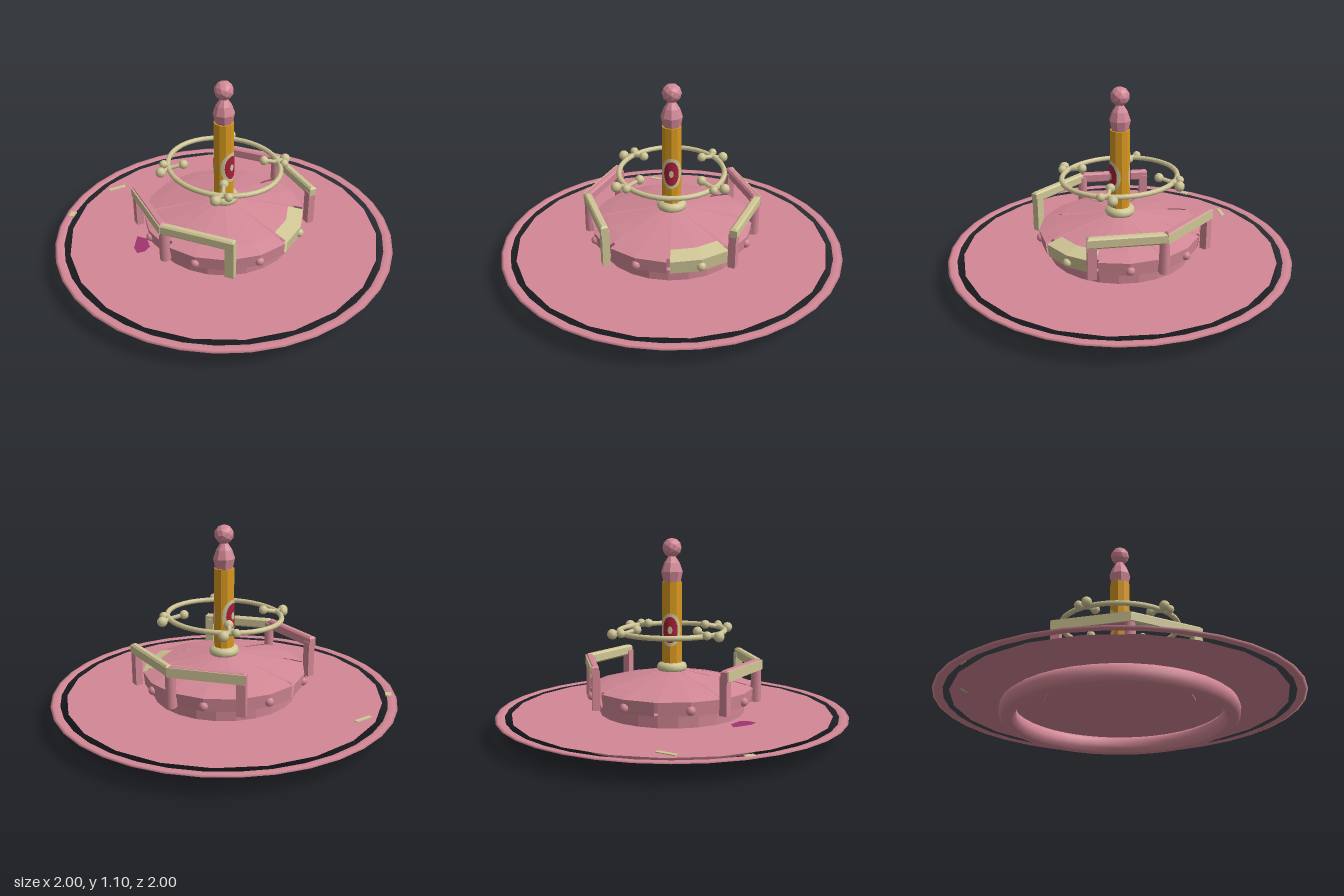
import * as THREE from 'three';

const mat = (name, color) => {
  const m = new THREE.MeshStandardMaterial({ color, side: THREE.DoubleSide });
  m.name = name;
  return m;
};
const pink = mat('pink', 0xd38896);
const khaki = mat('khaki', 0xcfc595);
const gold = mat('gold', 0xd8981f);
const red = mat('darkRed', 0xa81f3a);
const magenta = mat('magenta', 0xa03570);

const flat = (g) => {
  const n = g.index ? g.toNonIndexed() : g;
  n.computeVertexNormals();
  return n;
};
const lathe = (pts, sides, start = 0, length = Math.PI * 2) =>
  new THREE.LatheGeometry(pts.map(([r, y]) => new THREE.Vector2(r, y)), sides, start, length);

export function createModel() {
  const model = new THREE.Group();
  model.name = 'roundabout';
  const add = (name, geo, material, parent = model) => {
    const m = new THREE.Mesh(geo, material);
    m.name = name;
    parent.add(m);
    return m;
  };

  // Rounded ring on the ground
  add('baseRing', lathe([[0.58, 0.005], [0.63, 0.005], [0.648, 0.025], [0.652, 0.055], [0.645, 0.085],
    [0.625, 0.1], [0.58, 0.1], [0.562, 0.08], [0.558, 0.05], [0.562, 0.025], [0.58, 0.005]], 40), pink);

  // Thin floor disc with a separate outer band
  add('floorDisc', new THREE.CircleGeometry(0.913, 22).rotateX(-Math.PI / 2).translate(0, 0.118, 0), pink);
  add('floorBand', lathe([[0.946, 0.118], [0.96, 0.113], [0.985, 0.113], [1, 0.118],
    [0.985, 0.123], [0.96, 0.123], [0.946, 0.118]], 36), pink);

  // Paint marks on the floor
  const spot = new THREE.Shape([[-0.5, 0.22], [-0.46, 0.2], [-0.41, 0.21], [-0.37, 0.28],
    [-0.39, 0.34], [-0.43, 0.31], [-0.48, 0.27]].map(([x, y]) => new THREE.Vector2(x, y)));
  add('floorSpot', new THREE.ShapeGeometry(spot).rotateX(-Math.PI / 2).translate(0, 0.122, 0), magenta);
  const dash = add('floorDash', new THREE.BoxGeometry(0.11, 0.004, 0.025), khaki);
  dash.position.set(-0.125, 0.12, -0.835);
  dash.rotation.y = -0.35;
  const bandMark = add('bandMark', new THREE.BoxGeometry(0.05, 0.008, 0.035), khaki);
  bandMark.position.set(-0.51, 0.12, -0.81);
  bandMark.rotation.y = 0.5;

  // Drum under the platform
  add('drum', flat(lathe([[0, 0.11], [0.415, 0.11], [0.418, 0.185], [0.405, 0.195], [0.405, 0.25], [0, 0.25]], 24)), pink);

  // Eight platform wedges with narrow gaps, each with a bolt
  const platform = new THREE.Group();
  platform.name = 'platform';
  model.add(platform);
  for (let i = 0; i < 8; i++) {
    const step = Math.PI / 4, gap = 0.022;
    const start = i * step + gap, len = step - 2 * gap;
    const rimMat = i === 0 ? khaki : pink;
    add('wedgeTop', flat(lathe([[0.38, 0.292], [0.06, 0.358]], 2, start, len)), pink, platform);
    add('wedgeRim', flat(lathe([[0.4, 0.192], [0.462, 0.192], [0.47, 0.268], [0.38, 0.292]], 2, start, len)), rimMat, platform);
    const a = (i + 0.5) * step;
    const bolt = add('bolt', new THREE.IcosahedronGeometry(0.026, 1), rimMat, platform);
    bolt.position.set(Math.sin(a) * 0.462, 0.222, Math.cos(a) * 0.462);
  }

  // Centre pole with collar and finial
  add('collar', lathe([[0.05, 0.35], [0.08, 0.352], [0.087, 0.37], [0.08, 0.392], [0.055, 0.4]], 14), khaki);
  add('pole', flat(new THREE.CylinderGeometry(0.057, 0.057, 0.51, 10).translate(0, 0.605, 0)), gold);
  add('finialBody', flat(lathe([[0, 0.855], [0.05, 0.86], [0.062, 0.915], [0.045, 0.965], [0.022, 1.0], [0.02, 1.01]], 8)), pink);
  add('finialBall', flat(new THREE.IcosahedronGeometry(0.055, 1).translate(0, 1.05, 0)), pink);

  // Oval badges wrapped round the front and back of the pole
  const oval = (w, h, r) => {
    const g = new THREE.RingGeometry(0.001, 1, 18, 5);
    const p = g.attributes.position;
    for (let i = 0; i < p.count; i++) {
      const a = p.getX(i) * w;
      p.setXYZ(i, Math.sin(a) * r, 0.59 + p.getY(i) * h, Math.cos(a) * r);
    }
    g.computeVertexNormals();
    return g;
  };
  for (const turn of [0, Math.PI]) {
    const badge = new THREE.Group();
    badge.name = 'badge';
    badge.rotation.y = turn;
    model.add(badge);
    add('badgeBorder', oval(1.15, 0.095, 0.0585), khaki, badge);
    add('badgeField', oval(0.75, 0.075, 0.0605), red, badge);
    add('badgeCentre', oval(0.22, 0.022, 0.0625), khaki, badge);
  }

  // Oval hoop round the pole with four clusters of knobs
  const hoopPts = Array.from({ length: 20 }, (_, i) => {
    const a = (i / 20) * Math.PI * 2;
    return new THREE.Vector3(0.3 * Math.cos(a), 0.582, 0.338 * Math.sin(a));
  });
  add('hoop', new THREE.TubeGeometry(new THREE.CatmullRomCurve3(hoopPts, true), 40, 0.015, 8, true), khaki);
  const knobs = [[0.295, 0.58, 0.21, 0.03], [0.235, 0.59, 0.25, 0.025], [0.17, 0.6, 0.155, 0.027]];
  const hub = new THREE.Vector3(0.225, 0.585, 0.2);
  for (const sx of [1, -1]) for (const sz of [1, -1]) {
    const cluster = new THREE.Group();
    cluster.name = 'knobCluster';
    model.add(cluster);
    const side = new THREE.Vector3(sx, 1, sz);
    for (const [x, y, z, r] of knobs) {
      const end = new THREE.Vector3(x, y, z).multiply(side);
      add('knob', new THREE.IcosahedronGeometry(r, 1).translate(end.x, end.y, end.z), khaki, cluster);
      const arm = new THREE.LineCurve3(hub.clone().multiply(side), end);
      add('knobArm', new THREE.TubeGeometry(arm, 1, 0.013, 6), khaki, cluster);
    }
  }

  // Bent handrails on both sides: mitred bars on three posts
  const bar = (pts, y0, y1, bevel) => {
    const g = new THREE.ExtrudeGeometry(new THREE.Shape(pts.map(([x, z]) => new THREE.Vector2(x, z))), {
      depth: y1 - y0 - 2 * bevel, bevelEnabled: bevel > 0, bevelSize: bevel,
      bevelThickness: bevel, bevelOffset: -bevel, bevelSegments: 1,
    });
    return g.rotateX(Math.PI / 2).translate(0, y1 - bevel, 0);
  };
  for (const sx of [1, -1]) {
    const rail = new THREE.Group();
    rail.name = sx > 0 ? 'leftHandrail' : 'rightHandrail';
    model.add(rail);
    for (const sz of [1, -1]) {
      const plan = (pts) => pts.map(([x, z]) => [x * sx, z * sz]);
      const half = plan([[0.513, 0], [0.362, 0.398], [0.323, 0.383], [0.468, 0]]);
      add('railBar', bar(half, 0.37, 0.432, 0.01), sz > 0 ? khaki : pink, rail);
      if (sz < 0) {
        const strip = plan([[0.517, 0], [0.366, 0.396], [0.36, 0.394], [0.511, 0]]);
        add('railStrip', bar(strip, 0.373, 0.427, 0), khaki, rail);
      }
      const post = add('endPost', new THREE.BoxGeometry(0.042, 0.21, 0.05),
        sx < 0 && sz > 0 ? khaki : pink, rail);
      post.position.set(0.347 * sx, 0.295, 0.365 * sz);
      post.rotation.y = -0.37 * sx * sz;
    }
    const mid = add('middlePost', new THREE.CylinderGeometry(0.028, 0.03, 0.22, 8), pink, rail);
    mid.position.set(0.482 * sx, 0.3, 0);
    // Feet tying the posts to the platform rim
    const foot = add('postFoot', new THREE.BoxGeometry(0.06, 0.05, 0.05), pink, rail);
    foot.position.set(0.46 * sx, 0.215, 0);
  }
  return model;
}
